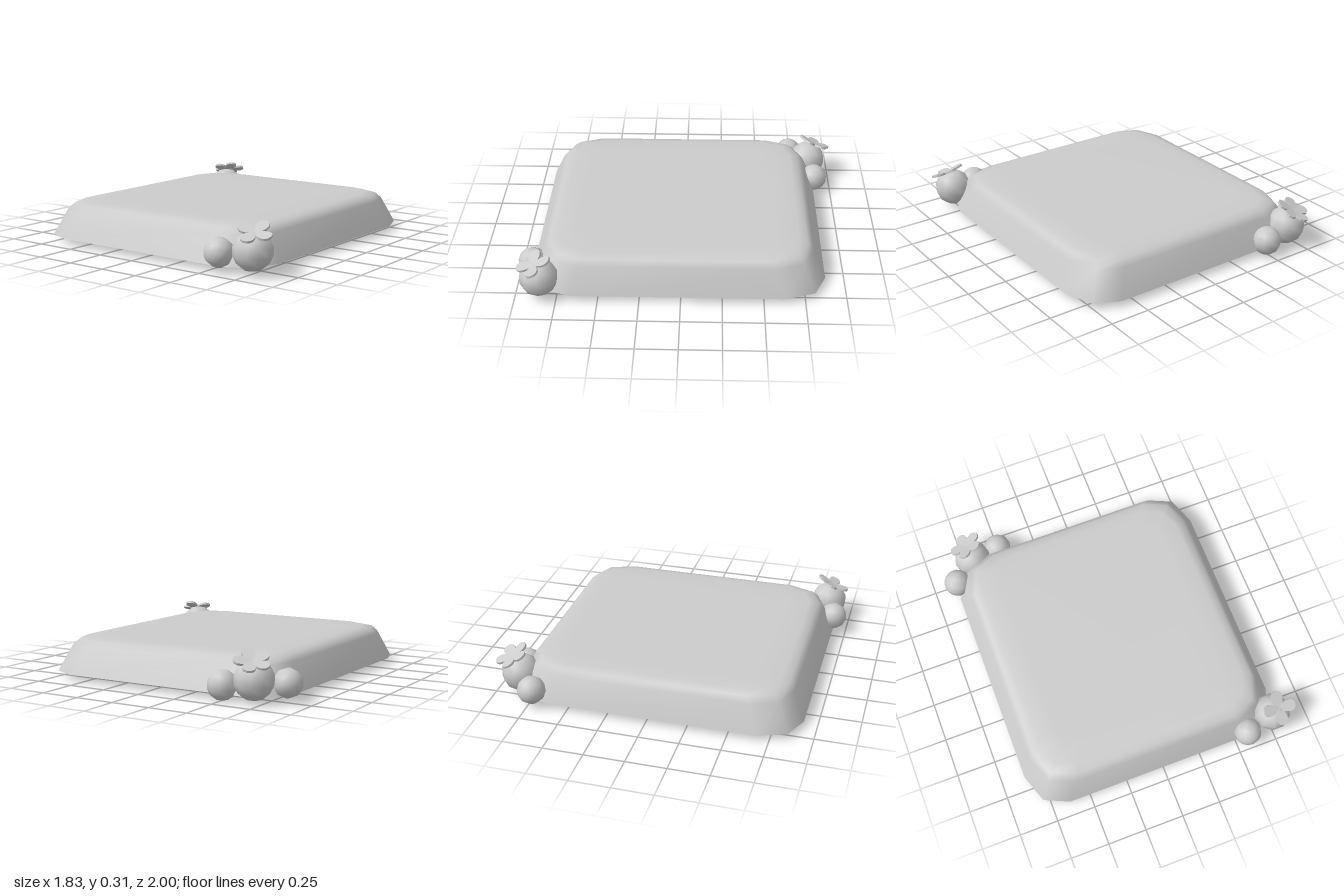
import * as THREE from 'three';

const material = new THREE.MeshStandardMaterial({ color: 0xcccccc, side: THREE.DoubleSide });

// Corner-cut rectangle: three points per corner
function ring(hw, hd, cx, cz, y) {
  const points = [];
  for (const [sx, sz] of [[1, 1], [1, -1], [-1, -1], [-1, 1]]) {
    const corner = [[hw - cx, hd], [hw - cx * 0.29, hd - cz * 0.28], [hw, hd - cz]];
    if (sx * sz < 0) corner.reverse();
    for (const [x, z] of corner) points.push(sx * x - 0.02, y, sz * z + 0.02);
  }
  return points;
}

// Open-bottomed slab: flared wall, rounded shoulder, flat top
function slab() {
  const rings = [
    ring(0.835, 0.9, 0.22, 0.25, 0.035),
    ring(0.765, 0.825, 0.21, 0.23, 0.2),
    ring(0.735, 0.79, 0.2, 0.22, 0.235),
    ring(0.68, 0.735, 0.18, 0.19, 0.25),
    ring(0.565, 0.615, 0.1, 0.12, 0.253),
  ];
  const n = 12, index = [];
  for (let r = 0; r < rings.length - 1; r++) {
    for (let i = 0; i < n; i++) {
      const a = r * n + i, b = r * n + (i + 1) % n;
      index.push(a, b, b + n, a, b + n, a + n);
    }
  }
  const top = (rings.length - 1) * n;
  for (let i = 1; i < n - 1; i++) index.push(top, top + i, top + i + 1);
  const geometry = new THREE.BufferGeometry();
  geometry.setAttribute('position', new THREE.Float32BufferAttribute(rings.flat(), 3));
  geometry.setIndex(index);
  geometry.computeVertexNormals();
  const mesh = new THREE.Mesh(geometry, material);
  mesh.name = 'slab';
  return mesh;
}

// Hollow berry; the open side of a cut one points along `open`
function berry(name, position, radius, open) {
  const cut = open ? 0.72 : 1;
  const mesh = new THREE.Mesh(new THREE.SphereGeometry(radius, 10, 7, 0, Math.PI * 2, 0, Math.PI * cut), material);
  mesh.name = name;
  mesh.position.set(...position);
  if (open) {
    mesh.quaternion.setFromUnitVectors(new THREE.Vector3(0, -1, 0), new THREE.Vector3(...open).normalize());
  }
  return mesh;
}

// Thin flower with rounded petals, facing along `normal`
function flower(position, normal, count, turn) {
  const group = new THREE.Group();
  group.name = 'flower';
  const shape = new THREE.Shape();
  shape.moveTo(-0.012, 0);
  shape.bezierCurveTo(-0.025, 0.03, -0.045, 0.055, -0.036, 0.088);
  shape.bezierCurveTo(-0.028, 0.12, 0.028, 0.12, 0.036, 0.088);
  shape.bezierCurveTo(0.045, 0.055, 0.025, 0.03, 0.012, 0);
  shape.closePath();
  const geometry = new THREE.ExtrudeGeometry(shape, { depth: 0.014, bevelEnabled: false, curveSegments: 4 });
  geometry.rotateX(-Math.PI / 2 + 0.12);
  for (let i = 0; i < count; i++) {
    const petal = new THREE.Mesh(geometry, material);
    petal.name = 'petal';
    petal.rotation.y = turn + (i * Math.PI * 2) / count;
    group.add(petal);
  }
  group.position.set(...position);
  group.quaternion.setFromUnitVectors(new THREE.Vector3(0, 1, 0), new THREE.Vector3(...normal).normalize());
  return group;
}

export function createModel() {
  const model = new THREE.Group();
  model.name = 'decoratedSlab';

  // Front left corner cluster
  const front = new THREE.Group();
  front.name = 'frontCluster';
  front.add(
    berry('largeBerry', [0.765, 0.138, 0.852], 0.118),
    berry('smallBerry', [0.575, 0.115, 0.912], 0.088, [0.5, -0.3, -0.8]),
    flower([0.79, 0.235, 0.865], [0.18, 1, 0.4], 4, -0.05),
  );

  // Back right corner cluster
  const back = new THREE.Group();
  back.name = 'backCluster';
  back.add(
    berry('largeBerry', [-0.69, 0.132, -0.85], 0.12),
    berry('smallBerry', [-0.838, 0.108, -0.725], 0.088, [0.8, -0.2, 0.4]),
    berry('smallBerry', [-0.503, 0.09, -0.885], 0.09),
    flower([-0.7, 0.235, -0.89], [-0.3, 1, -0.42], 5, 0.26),
  );

  model.add(slab(), front, back);
  return model;
}
